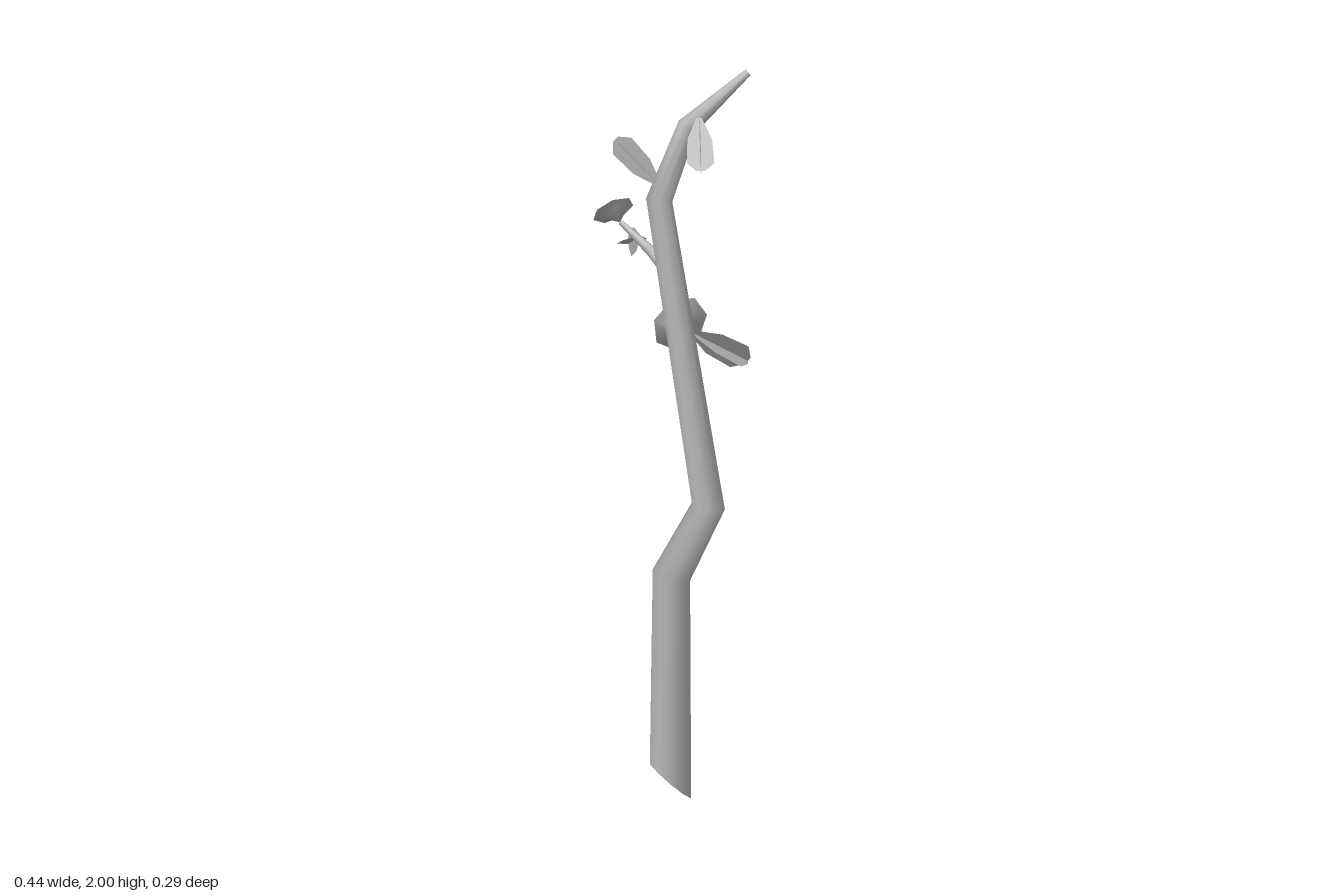
import * as THREE from 'three';

const V = (a) => new THREE.Vector3(...a);
const SIDES = 10;

function geometry(pos, idx) {
  const g = new THREE.BufferGeometry();
  g.setAttribute('position', new THREE.Float32BufferAttribute(pos, 3));
  g.setIndex(idx);
  g.computeVertexNormals();
  return g;
}

// Tapered limb: mitred rings along a bent path; sections are [x, y, z, rx, rz]
function limbGeometry(sections, cutBase) {
  const pts = sections.map((s) => V(s));
  const last = pts.length - 1;
  const rings = pts.map((p, i) => {
    const n = new THREE.Vector3();
    if (i > 0) n.add(p.clone().sub(pts[i - 1]).normalize());
    if (i < last) n.add(pts[i + 1].clone().sub(p).normalize());
    n.normalize();
    const u = new THREE.Vector3(1, 0, 0).addScaledVector(n, -n.x).normalize();
    const v = n.clone().cross(u);
    return Array.from({ length: SIDES }, (_, j) => {
      const a = (j / SIDES) * Math.PI * 2;
      const q = p.clone().addScaledVector(u, Math.cos(a) * sections[i][3])
        .addScaledVector(v, Math.sin(a) * (sections[i][4] ?? sections[i][3]));
      if (i === 0 && cutBase) q.y = cutBase(q);
      return q;
    });
  });
  const pos = [], idx = [];
  rings.flat().forEach((q) => pos.push(q.x, q.y, q.z));
  for (let i = 0; i < last; i++) {
    for (let j = 0; j < SIDES; j++) {
      const k = (j + 1) % SIDES;
      const a = i * SIDES + j, b = i * SIDES + k;
      idx.push(a, b, b + SIDES, a, b + SIDES, a + SIDES);
    }
  }
  // End caps with their own corners, so the rims stay sharp
  [[rings[0], true], [rings[last], false]].forEach(([ring, flip]) => {
    const s = pos.length / 3;
    ring.forEach((q) => pos.push(q.x, q.y, q.z));
    for (let j = 1; j < SIDES - 1; j++) {
      idx.push(s, s + (flip ? j + 1 : j), s + (flip ? j : j + 1));
    }
  });
  return geometry(pos, idx);
}

// Leaf of two crossed blades running from base to tip
function crossedLeaf(name, mat, base, tip, width, roll = 0) {
  const shape = new THREE.Shape([
    [0, -0.1], [0.4, -0.45], [0.85, -0.5], [1, -0.15],
    [1, 0.15], [0.85, 0.5], [0.4, 0.45], [0, 0.1],
  ].map(([x, y]) => new THREE.Vector2(x, y)));
  const b = V(base), axis = V(tip).sub(b), length = axis.length();
  axis.normalize();
  const side = axis.clone().cross(new THREE.Vector3(0, 1, 0)).normalize();
  const leaf = new THREE.Group();
  leaf.name = name;
  for (let i = 0; i < 2; i++) {
    const w = side.clone().applyAxisAngle(axis, roll + i * Math.PI / 2);
    const m = new THREE.Matrix4().makeBasis(
      axis.clone().multiplyScalar(length), w.clone().multiplyScalar(width), axis.clone().cross(w));
    m.setPosition(b);
    const blade = new THREE.Mesh(new THREE.ShapeGeometry(shape).applyMatrix4(m), mat);
    blade.name = 'leafBlade';
    leaf.add(blade);
  }
  return leaf;
}

// Shallow open cup with a seven-sided rim
function cupLeaf(name, mat, base, rim, normal, radius) {
  const n = V(normal).normalize(), b = V(base), c = V(rim);
  const u = new THREE.Vector3(0, 1, 0).cross(n).normalize(), v = n.clone().cross(u);
  const pos = [b.x, b.y, b.z], idx = [];
  const N = 7;
  for (let r = 1; r <= 2; r++) {
    for (let j = 0; j < N; j++) {
      const a = (j / N) * Math.PI * 2 + 0.2;
      const q = b.clone().lerp(c, r === 1 ? 0.7 : 1)
        .addScaledVector(u, Math.cos(a) * radius * r / 2)
        .addScaledVector(v, Math.sin(a) * radius * r / 2);
      pos.push(q.x, q.y, q.z);
    }
  }
  for (let j = 0; j < N; j++) {
    const a = 1 + j, d = 1 + (j + 1) % N;
    idx.push(0, a, d, a, a + N, d + N, a, d + N, d);
  }
  const mesh = new THREE.Mesh(geometry(pos, idx), mat);
  mesh.name = name;
  return mesh;
}

export function createModel() {
  const grey = new THREE.MeshStandardMaterial({ color: 0xb2b2b2, side: THREE.DoubleSide });
  grey.name = 'grey';
  const model = new THREE.Group();
  model.name = 'branch';

  // Main stem with a slanted cut at the foot
  const stem = new THREE.Mesh(limbGeometry([
    [0.018, 0.05, 0.07, 0.058, 0.074],
    [0.014, 0.612, 0.045, 0.054, 0.056],
    [0.126, 0.812, 0.077, 0.047, 0.05],
    [-0.029, 1.638, 0.011, 0.037, 0.037],
    [0.048, 1.842, 0.006, 0.029, 0.026],
    [0.205, 1.99, -0.048, 0.011, 0.01],
  ], (q) => Math.max(0, 0.052 - 0.85 * (q.x - 0.018) + 0.2 * (q.z - 0.07))), grey);
  stem.name = 'stem';
  model.add(stem);

  // Side twig
  const twig = new THREE.Mesh(limbGeometry([
    [0.0, 1.44, 0.01, 0.02],
    [-0.06, 1.49, -0.025, 0.015],
    [-0.155, 1.56, -0.06, 0.007],
  ]), grey);
  twig.name = 'twig';
  model.add(twig);

  // Leaves
  model.add(
    crossedLeaf('upperRightLeaf', grey, [-0.03, 1.68, 0.008], [-0.145, 1.805, 0.036], 0.068),
    crossedLeaf('topFrontLeaf', grey, [0.085, 1.87, 0.02], [0.115, 1.74, 0.115], 0.075),
    crossedLeaf('lowerLeftLeaf', grey, [0.06, 1.275, 0.0], [0.19, 1.185, -0.105], 0.085, 0.6),
    crossedLeaf('twigLeaf', grey, [-0.1, 1.525, -0.05], [-0.155, 1.488, -0.142], 0.075),
    cupLeaf('lowerCupLeaf', grey, [0.022, 1.27, 0.0], [0.013, 1.29, -0.05], [-0.62, 0.3, -0.72], 0.082),
    cupLeaf('twigCupLeaf', grey, [-0.157, 1.56, -0.06], [-0.18, 1.59, -0.073], [-0.5, 0.72, -0.45], 0.06),
  );
  return model;
}
